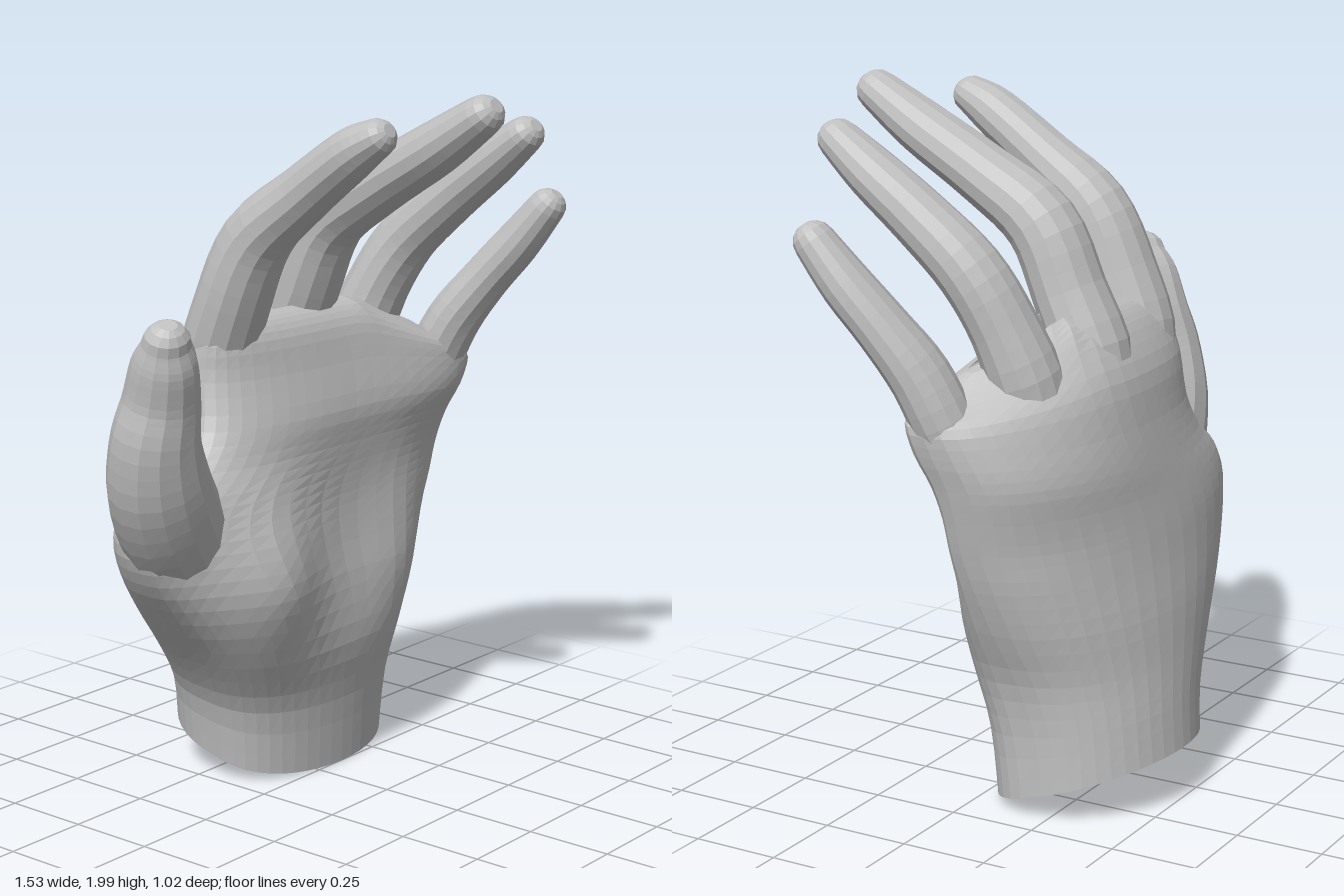
import * as THREE from 'three';

const skin = new THREE.MeshStandardMaterial({ color: 0xc0c0c0, flatShading: true });
skin.name = 'plainGrey';

// Catmull-Rom resampling of rows of numbers, `steps` samples per gap
function smoothRows(rows, steps) {
  const out = [];
  const at = (i) => rows[Math.min(Math.max(i, 0), rows.length - 1)];
  for (let i = 0; i < rows.length - 1; i++) {
    for (let s = 0; s < steps; s++) {
      const t = s / steps;
      out.push(rows[i].map((b, k) => {
        const a = at(i - 1)[k], c = at(i + 1)[k], d = at(i + 2)[k];
        return b + 0.5 * t * (c - a + t * (2 * a - 5 * b + 4 * c - d + t * (3 * (b - c) + d - a)));
      }));
    }
  }
  out.push(rows[rows.length - 1]);
  return out;
}

// Skin a stack of closed rings (running from bottom to top) and cap both ends
function loft(name, rings) {
  const n = rings[0].length;
  const points = rings.flat();
  const index = [];
  for (let r = 0; r < rings.length - 1; r++) {
    for (let i = 0; i < n; i++) {
      const a = r * n + i, b = r * n + (i + 1) % n;
      index.push(a, a + n, b, b, a + n, b + n);
    }
  }
  for (const r of [0, rings.length - 1]) {
    const centre = new THREE.Vector3();
    rings[r].forEach((p) => centre.addScaledVector(p, 1 / n));
    points.push(centre);
    for (let i = 0; i < n; i++) {
      const a = r * n + i, b = r * n + (i + 1) % n;
      index.push(points.length - 1, r ? b : a, r ? a : b);
    }
  }
  const geometry = new THREE.BufferGeometry().setFromPoints(points);
  geometry.setIndex(index);
  geometry.computeVertexNormals();
  const mesh = new THREE.Mesh(geometry, skin);
  mesh.name = name;
  return mesh;
}

// Finger along rows of [x, y, z, half width, half depth], ending in a round tip
function finger(name, rows, sides = 14) {
  const path = smoothRows(rows, 4);
  const last = path[path.length - 1];
  const before = path[path.length - 2];
  const end = new THREE.Vector3(...last);
  const forward = end.clone().sub(new THREE.Vector3(...before)).normalize();
  for (const a of [0.45, 0.85, 1.2]) {
    const p = end.clone().addScaledVector(forward, Math.sin(a) * last[4]);
    path.push([p.x, p.y, p.z, last[3] * Math.cos(a), last[4] * Math.cos(a)]);
  }
  const centres = path.map((p) => new THREE.Vector3(p[0], p[1], p[2]));
  const rings = path.map(([, , , w, d], i) => {
    const tangent = centres[Math.min(i + 1, path.length - 1)].clone()
      .sub(centres[Math.max(i - 1, 0)]).normalize();
    const depth = new THREE.Vector3(1, 0, 0).cross(tangent).normalize();
    const width = tangent.clone().cross(depth).normalize();
    return Array.from({ length: sides }, (_, k) => {
      const a = (k / sides) * Math.PI * 2;
      return centres[i].clone().addScaledVector(width, w * Math.cos(a))
        .addScaledVector(depth, d * Math.sin(a));
    });
  });
  return loft(name, rings);
}

// Soft pad of flesh centred on (cx, cy)
const pad = (x, y, cx, cy, rx, ry) => Math.exp(-(((x - cx) / rx) ** 2) - ((y - cy) / ry) ** 2);

// Palm and wrist: [y, xMin, xMax, zBack, zFront, zSide, backPower, arch, drop, tilt]
function palm() {
  const rows = [
    [0.08, -0.235, 0.44, -0.51, 0.0, -0.25, 1, 0, 0, 0.31],
    [0.25, -0.27, 0.445, -0.495, 0.02, -0.23, 0.95, 0, 0, 0.15],
    [0.40, -0.37, 0.47, -0.48, 0.05, -0.19, 0.9, 0, 0, 0.05],
    [0.55, -0.50, 0.53, -0.465, 0.04, -0.15, 0.9, 0, 0, 0],
    [0.68, -0.60, 0.575, -0.445, 0.02, -0.12, 0.9, 0, 0, 0],
    [0.79, -0.64, 0.605, -0.43, 0.01, -0.11, 0.9, 0.05, 0, 0],
    [0.88, -0.59, 0.625, -0.415, 0.01, -0.12, 0.85, 0.1, 0, 0],
    [0.97, -0.455, 0.645, -0.40, 0.015, -0.14, 0.75, 0.2, 0, 0],
    [1.07, -0.375, 0.665, -0.38, 0.02, -0.16, 0.7, 0.35, 0.03, 0],
    [1.20, -0.345, 0.67, -0.35, -0.01, -0.18, 0.65, 0.5, 0.15, 0],
    [1.30, -0.335, 0.62, -0.29, -0.035, -0.165, 0.65, 0.6, 0.35, 0],
    [1.35, -0.315, 0.56, -0.24, -0.07, -0.155, 0.65, 0.6, 0.45, 0],
    [1.37, -0.27, 0.50, -0.20, -0.11, -0.155, 0.65, 0.6, 0.45, 0],
  ];
  const sides = 44;
  const rings = smoothRows(rows, 3).map(([y, x0, x1, zb, zf, zm, power, arch, drop, tilt]) =>
    Array.from({ length: sides }, (_, k) => {
      const a = (k / sides) * Math.PI * 2;
      const s = Math.sin(a);
      const x = (x0 + x1) / 2 + (x1 - x0) / 2 * Math.cos(a);
      const bulge = s < 0 ? -(zm - zb) * Math.pow(-s, power) : (zf - zm) * Math.pow(s, 0.65);
      // ball of the thumb and heel of the hand
      const flesh = Math.max(0, s) * (0.1 * pad(x, y, -0.28, 0.64, 0.2, 0.23)
        + 0.045 * pad(x, y, 0.38, 0.6, 0.18, 0.25));
      const z = zm + bulge + flesh + arch * Math.max(0, x - 0.1) ** 2;
      return new THREE.Vector3(x, y - tilt * (z + 0.25) - drop * Math.max(0, x - 0.25), z);
    }));
  return loft('palmAndWrist', rings);
}

export function createModel() {
  const hand = new THREE.Group();
  hand.name = 'hand';
  hand.add(palm());

  // Every finger starts as a narrow root hidden inside the palm
  hand.add(finger('thumb', [
    [-0.30, 0.56, -0.14, 0.07, 0.07],
    [-0.47, 0.78, -0.11, 0.15, 0.125],
    [-0.585, 0.95, -0.075, 0.152, 0.135],
    [-0.638, 1.10, -0.04, 0.13, 0.12],
    [-0.645, 1.22, -0.01, 0.108, 0.105],
    [-0.668, 1.33, 0.025, 0.09, 0.09],
    [-0.682, 1.385, 0.045, 0.07, 0.065],
  ]));
  hand.add(finger('indexFinger', [
    [-0.15, 1.05, -0.18, 0.07, 0.06],
    [-0.21, 1.22, -0.195, 0.115, 0.1],
    [-0.222, 1.42, -0.125, 0.118, 0.1],
    [-0.215, 1.60, -0.04, 0.108, 0.095],
    [-0.20, 1.73, 0.11, 0.09, 0.08],
    [-0.195, 1.85, 0.27, 0.08, 0.07],
    [-0.19, 1.895, 0.345, 0.065, 0.055],
  ]));
  hand.add(finger('middleFinger', [
    [0.11, 1.05, -0.2, 0.07, 0.06],
    [0.11, 1.22, -0.225, 0.12, 0.105],
    [0.11, 1.42, -0.145, 0.118, 0.1],
    [0.115, 1.60, -0.06, 0.112, 0.098],
    [0.123, 1.72, 0.11, 0.1, 0.085],
    [0.13, 1.84, 0.31, 0.09, 0.075],
    [0.135, 1.935, 0.455, 0.07, 0.058],
  ]));
  hand.add(finger('ringFinger', [
    [0.33, 1.02, -0.18, 0.07, 0.06],
    [0.375, 1.19, -0.175, 0.11, 0.1],
    [0.41, 1.37, -0.115, 0.105, 0.09],
    [0.442, 1.52, -0.03, 0.1, 0.088],
    [0.46, 1.65, 0.11, 0.09, 0.08],
    [0.47, 1.76, 0.25, 0.082, 0.07],
    [0.47, 1.845, 0.36, 0.065, 0.055],
  ]));
  hand.add(finger('littleFinger', [
    [0.50, 0.92, -0.12, 0.06, 0.06],
    [0.575, 1.10, -0.05, 0.09, 0.08],
    [0.61, 1.26, 0.02, 0.095, 0.078],
    [0.65, 1.39, 0.11, 0.085, 0.07],
    [0.68, 1.50, 0.20, 0.077, 0.066],
    [0.70, 1.61, 0.285, 0.062, 0.055],
  ]));
  return hand;
}
